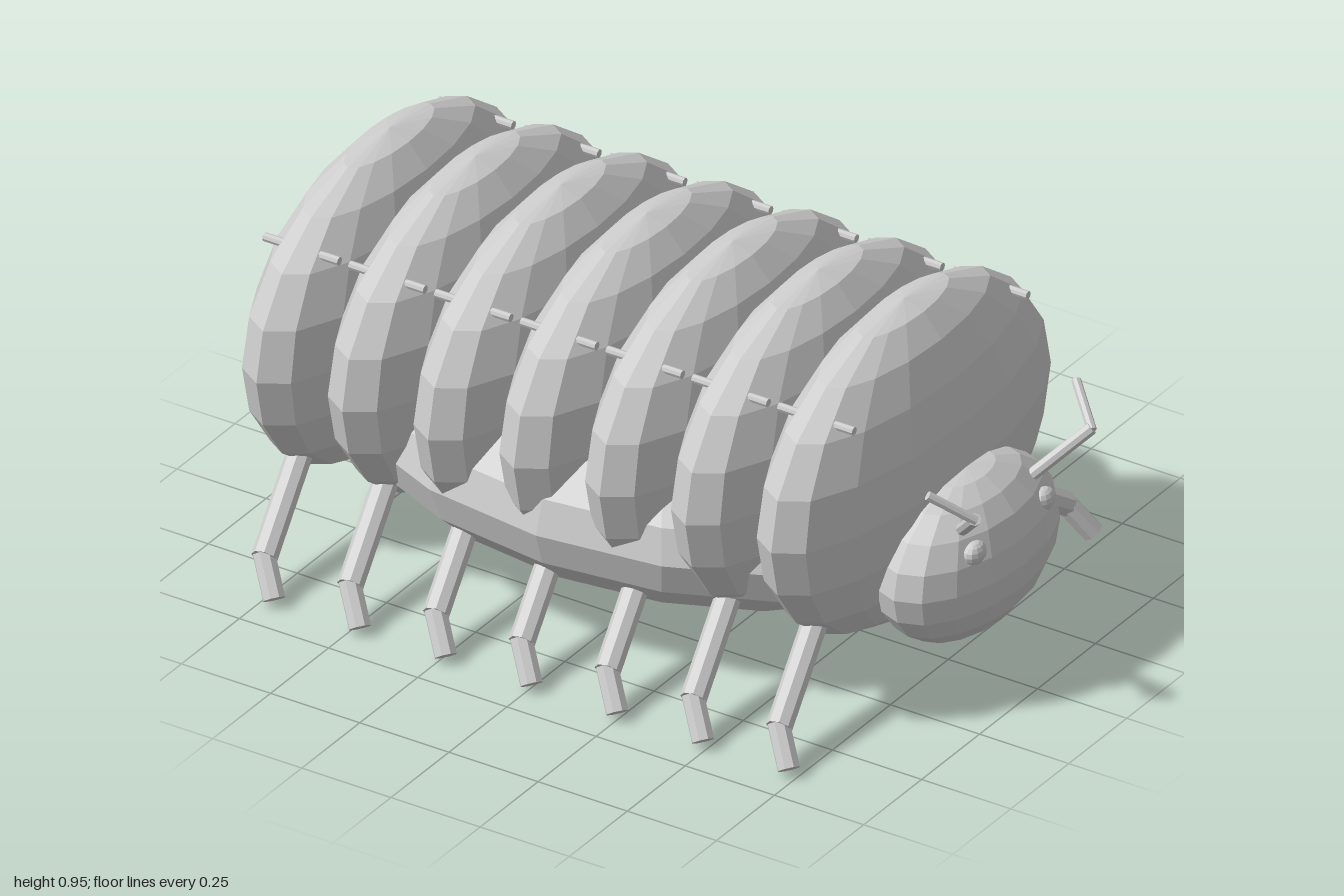
import * as THREE from 'three';

const shellGrey = new THREE.MeshStandardMaterial({ color: 0xcccccc, flatShading: true });
shellGrey.name = 'shellGrey';

// Faceted ellipsoid
function ellipsoid(name, [x, y, z], [rx, ry, rz], around = 16, rings = 10) {
  const mesh = new THREE.Mesh(new THREE.SphereGeometry(1, around, rings).scale(rx, ry, rz), shellGrey);
  mesh.name = name;
  mesh.position.set(x, y, z);
  return mesh;
}

// Straight rod between two points
function rod(name, from, to, radius, sides = 8) {
  const a = new THREE.Vector3(...from), b = new THREE.Vector3(...to);
  const dir = b.clone().sub(a);
  const mesh = new THREE.Mesh(new THREE.CylinderGeometry(radius, radius, dir.length(), sides), shellGrey);
  mesh.name = name;
  mesh.position.copy(a).add(b).multiplyScalar(0.5);
  mesh.quaternion.setFromUnitVectors(new THREE.Vector3(0, 1, 0), dir.normalize());
  return mesh;
}

export function createModel() {
  const model = new THREE.Group();
  model.name = 'segmentedBug';

  // Belly and head
  model.add(ellipsoid('belly', [-0.05, 0.37, 0], [0.85, 0.282, 0.548]));
  model.add(ellipsoid('head', [0.802, 0.35, 0], [0.165, 0.215, 0.315]));

  // Shell segments, each with a pair of legs and a peg bar through each shoulder
  for (let i = 0; i < 7; i++) {
    const cx = -0.818 + 0.2405 * i;
    const segment = new THREE.Group();
    segment.name = 'segment' + (i + 1);
    segment.add(ellipsoid('shellPlate', [cx, 0.55, 0], [0.18, 0.415, 0.572]));
    for (const s of [1, -1]) {
      segment.add(rod('upperLeg', [cx - 0.005, 0.3, 0.35 * s], [cx + 0.052, 0.115, 0.618 * s], 0.032));
      segment.add(rod('lowerLeg', [cx + 0.047, 0.125, 0.613 * s], [cx + 0.104, 0.036, 0.655 * s], 0.028));
      segment.add(rod('shoulderPeg', [cx - 0.105, 0.82, 0.375 * s], [cx + 0.105, 0.82, 0.375 * s], 0.011));
    }
    model.add(segment);
  }

  // Eyes and bent antennae
  for (const s of [1, -1]) {
    model.add(ellipsoid('eye', [0.92, 0.438, 0.148 * s], [0.025, 0.03, 0.037], 12, 8));
    model.add(rod('antennaBase', [0.88, 0.485, 0.145 * s], [0.988, 0.602, 0.252 * s], 0.016));
    model.add(rod('antennaTip', [0.99, 0.598, 0.25 * s], [0.9, 0.672, 0.32 * s], 0.012));
  }
  return model;
}
